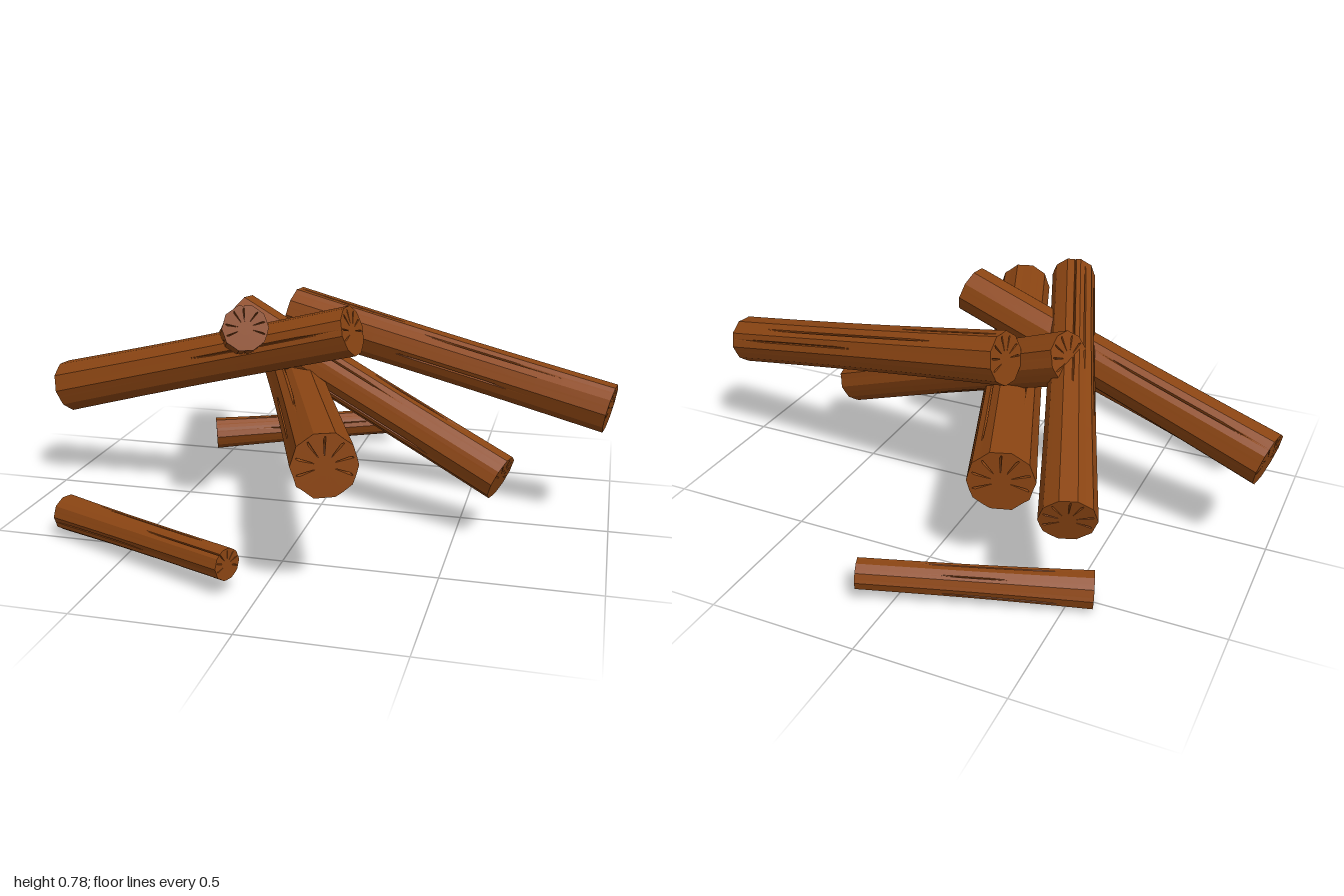
import * as THREE from 'three';

const SIDES = 10, STEPS = 14;
const bark = new THREE.MeshStandardMaterial({ color: 0x8b4513, flatShading: true });

function seeded(seed) {
  let s = seed * 7919 + 17;
  return () => (s = (s * 16807) % 2147483647) / 2147483647;
}

// Faceted log along +z with split bark and cracked end grain
function logGeometry(length, r0, r1, seed) {
  const rand = seeded(seed);
  for (let i = 0; i < 5; i++) rand();

  // Around the log: each flat side has its corner plus a narrow groove (left lip, bottom, right lip)
  const columns = [];
  for (let s = 0; s < SIDES; s++) {
    const mid = 0.3 + rand() * 0.4;
    const groove = { from: rand() * 0.6, span: 0.25 + rand() * 0.4, depth: rand() < 0.6 ? 0.14 : 0 };
    const bump = 0.98 + rand() * 0.04;
    [0, mid - 0.07, mid, mid + 0.07].forEach((f, k) => {
      const half = Math.PI / SIDES;
      const chord = Math.cos(half) / Math.cos((f - 0.5) * 2 * half);
      columns.push({ angle: (s + f) * 2 * half, radius: chord * (k === 0 ? bump : 1), groove: k === 2 ? groove : null });
    });
  }

  // Along the log: back cap outwards, the bark, front cap inwards
  const rings = [];
  const cap = [[0, 0], [0.3, 0], [0.8, 0.25], [0.9, 0]];
  cap.forEach(([scale, sink]) => rings.push({ t: 0, scale, sink }));
  for (let j = 0; j <= STEPS; j++) rings.push({ t: j / STEPS, scale: 1, sink: 0, side: true });
  [...cap].reverse().forEach(([scale, sink]) => rings.push({ t: 1, scale, sink: -sink }));

  const positions = [], index = [], n = columns.length;
  rings.forEach(({ t, scale, sink, side }, j) => {
    const r = THREE.MathUtils.lerp(r0, r1, t) * (1 - 0.05 * Math.sin(Math.PI * t));
    columns.forEach(({ angle, radius, groove }, i) => {
      let cut = 0, z = t * length;
      if (groove && side) {
        const u = (t - groove.from) / groove.span;
        if (u > 0 && u < 1) cut = groove.depth * Math.sin(Math.PI * u);
      }
      if (groove && Math.sin(angle) > -0.4) z += sink * r;
      const d = r * scale * (radius - cut);
      positions.push(d * Math.cos(angle), d * Math.sin(angle), z);
      if (j < rings.length - 1) {
        const a = j * n + i, b = j * n + (i + 1) % n;
        if (j > 0) index.push(a, b, b + n);
        if (j === 0 || j < rings.length - 2) index.push(a, b + n, a + n);
        else index.push();
      }
    });
  });
  const indexed = new THREE.BufferGeometry();
  indexed.setAttribute('position', new THREE.Float32BufferAttribute(positions, 3));
  indexed.setIndex(index);
  const geometry = indexed.toNonIndexed();
  geometry.computeVertexNormals();
  return geometry;
}

// name, start centre, end centre, start radius, end radius
const LOGS = [
  ['leftLog', [-0.975, 0.37, -0.04], [0.143, 0.685, 0.15], 0.094, 0.085],
  ['rightLog', [-0.16, 0.655, -0.25], [0.978, 0.42, -0.06], 0.088, 0.083],
  ['frontRightLog', [-0.335, 0.645, -0.145], [0.645, 0.22, 0.15], 0.088, 0.08],
  ['topLog', [-0.535, 0.4, -0.66], [-0.16, 0.72, 0.345], 0.088, 0.075],
  ['thickLog', [-0.27, 0.39, -0.535], [0.21, 0.445, 0.785], 0.108, 0.099],
  ['frontStick', [-0.758, 0.08, 0.46], [-0.09, 0.105, 0.773], 0.061, 0.051],
  ['backStick', [-0.575, 0.064, -0.515], [0.112, 0.092, -0.775], 0.062, 0.051],
];

export function createModel() {
  const model = new THREE.Group();
  model.name = 'logPile';
  LOGS.forEach(([name, start, end, r0, r1], i) => {
    const a = new THREE.Vector3(...start), b = new THREE.Vector3(...end);
    const log = new THREE.Mesh(logGeometry(a.distanceTo(b), r0, r1, i + 1), bark);
    log.name = name;
    log.position.copy(a);
    log.lookAt(b);
    model.add(log);
  });
  return model;
}
